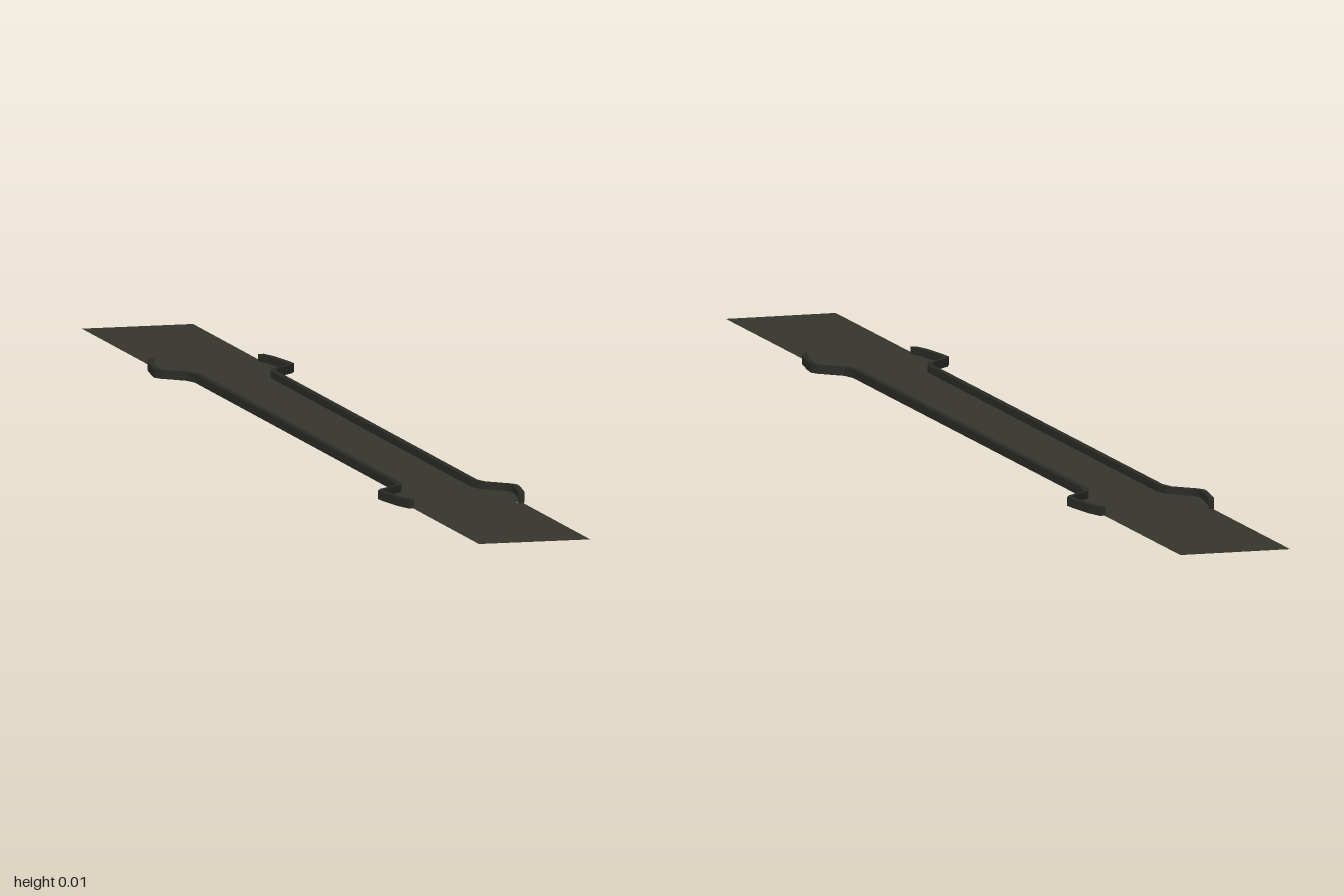
import * as THREE from 'three';

const RIM_HEIGHT = 0.012;
const RIM_WIDTH = 0.008;

// Outer edge of one side from the middle to one end: [x, z]
const EDGE = [
  [0.057, 0.505], [0.063, 0.525], [0.092, 0.552], [0.098, 0.564],
  [0.096, 0.585], [0.089, 0.63], [0.081, 0.655],
];
// Whole side, end to end
const SIDE = [...EDGE.map(([x, z]) => [x, -z]).reverse(), ...EDGE];

function shapeFrom(points) {
  return new THREE.Shape(points.map(([x, z]) => new THREE.Vector2(x, z)));
}

export function createModel() {
  const strapMaterial = new THREE.MeshStandardMaterial({ color: 0x36352d, side: THREE.DoubleSide });
  strapMaterial.name = 'strap olive grey';
  const rimMaterial = new THREE.MeshStandardMaterial({ color: 0x292925 });
  rimMaterial.name = 'rim dark grey';

  const group = new THREE.Group();
  group.name = 'strap';

  // Paper-thin strap with a notch where the rims stop
  const right = [
    [0.078, -1], [0.078, -0.661], [0.07, -0.658],
    ...SIDE.map(([x, z]) => [x - RIM_WIDTH / 2, z]),
    [0.07, 0.658], [0.078, 0.661], [0.078, 1],
  ];
  const left = right.map(([x, z]) => [-x, z]).reverse();
  const strapGeometry = new THREE.ShapeGeometry(shapeFrom([...right, ...left]));
  strapGeometry.rotateX(-Math.PI / 2);
  const strap = new THREE.Mesh(strapGeometry, strapMaterial);
  strap.name = 'strapSheet';
  strap.position.y = 0.002;
  group.add(strap);

  // Raised rims following both long edges and their bulges
  for (const side of [1, -1]) {
    const inner = SIDE.map(([x, z]) => [x - RIM_WIDTH, z]).reverse();
    const outline = [...SIDE, ...inner].map(([x, z]) => [x * side, z]);
    const geometry = new THREE.ExtrudeGeometry(shapeFrom(outline), {
      depth: RIM_HEIGHT, bevelEnabled: false,
    });
    geometry.rotateX(-Math.PI / 2);
    const rim = new THREE.Mesh(geometry, rimMaterial);
    rim.name = side > 0 ? 'leftRim' : 'rightRim';
    group.add(rim);
  }
  return group;
}
